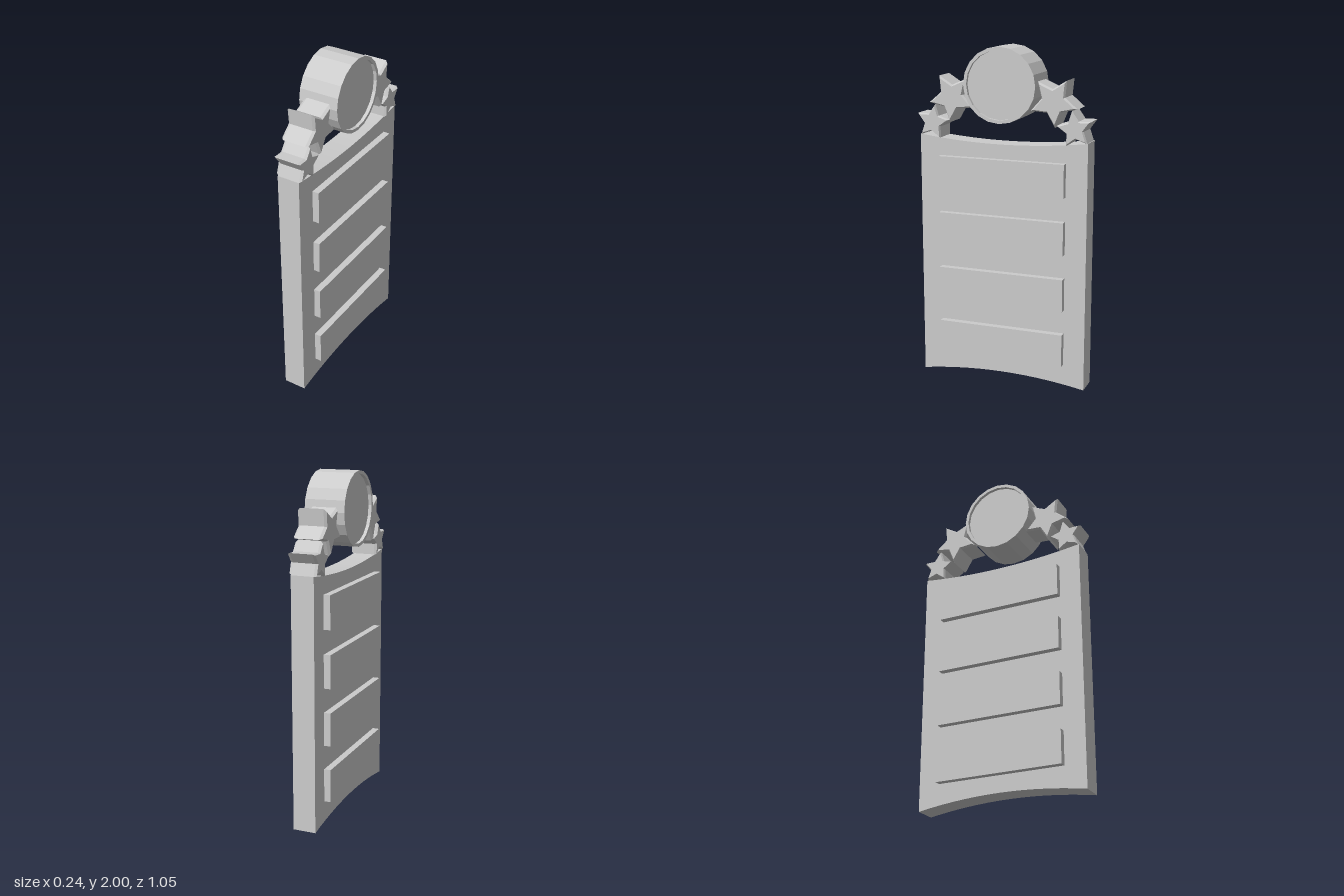
import * as THREE from 'three';

const material = new THREE.MeshStandardMaterial({ color: 0xcccccc, flatShading: true });

function addMesh(parent, geometry, name) {
  const mesh = new THREE.Mesh(geometry, material);
  mesh.name = name;
  parent.add(mesh);
  return mesh;
}

// Extrudes a (z, y) outline across x, centred on x = 0
function extrudeAcross(shape, width, steps = 1) {
  const geometry = new THREE.ExtrudeGeometry(shape, { depth: width, steps, bevelEnabled: false, curveSegments: 14 });
  return geometry.translate(0, 0, -width / 2);
}

// Five-pointed star block with chamfered faces
function starGeometry(radius, turn, halfWidth) {
  const points = [];
  for (let i = 0; i < 10; i++) {
    const a = THREE.MathUtils.degToRad(turn + i * 36);
    const r = i % 2 ? radius * 0.5 : radius;
    points.push(new THREE.Vector2(Math.cos(a) * r, Math.sin(a) * r));
  }
  const geometry = extrudeAcross(new THREE.Shape(points), 2 * halfWidth, 3);
  const p = geometry.attributes.position;
  for (let i = 0; i < p.count; i++) {
    const z = p.getZ(i);
    if (Math.abs(z) > halfWidth * 0.9) {
      p.setXY(i, p.getX(i) * 0.87, p.getY(i) * 0.87);
    } else {
      p.setZ(i, Math.sign(z) * (halfWidth - 0.015));
    }
  }
  geometry.computeVertexNormals();
  return geometry.rotateY(-Math.PI / 2);
}

export function createModel() {
  const model = new THREE.Group();
  model.name = 'awardBoard';

  // Board with curved top and bottom edges
  const outline = new THREE.Shape();
  outline.moveTo(-0.512, 0);
  outline.quadraticCurveTo(0, 0.09, 0.512, 0);
  outline.lineTo(0.512, 1.475);
  outline.quadraticCurveTo(0, 1.405, -0.512, 1.475);
  outline.closePath();
  addMesh(model, extrudeAcross(outline, 0.136).rotateY(-Math.PI / 2), 'board');

  // Raised plates, showing on both faces
  for (let i = 0; i < 4; i++) {
    const plate = addMesh(model, new THREE.BoxGeometry(0.216, 0.196, 0.77), 'plate' + (i + 1));
    plate.position.set(0, 0.243 + i * 0.338, 0);
  }

  // Round medallion with a rim and a shallow recess on each face
  const profile = [
    [0, -0.1], [0.198, -0.1], [0.198, -0.12], [0.217, -0.12],
    [0.217, 0.12], [0.198, 0.12], [0.198, 0.1], [0, 0.1],
  ].map(([x, y]) => new THREE.Vector2(x, y));
  const medallion = addMesh(model, new THREE.LatheGeometry(profile, 20).rotateZ(Math.PI / 2), 'medallion');
  medallion.position.y = 1.783;

  // A large and a small star on each side of the medallion
  for (const side of [1, -1]) {
    const label = side > 0 ? 'Front' : 'Back';
    const turn = (angle) => (side > 0 ? angle : 180 - angle);
    const large = addMesh(model, starGeometry(0.145, turn(58), 0.085), 'largeStar' + label);
    large.position.set(0, 1.699, side * 0.309);
    const small = addMesh(model, starGeometry(0.107, turn(27), 0.081), 'smallStar' + label);
    small.position.set(0, 1.549, side * 0.432);
  }

  return model;
}
